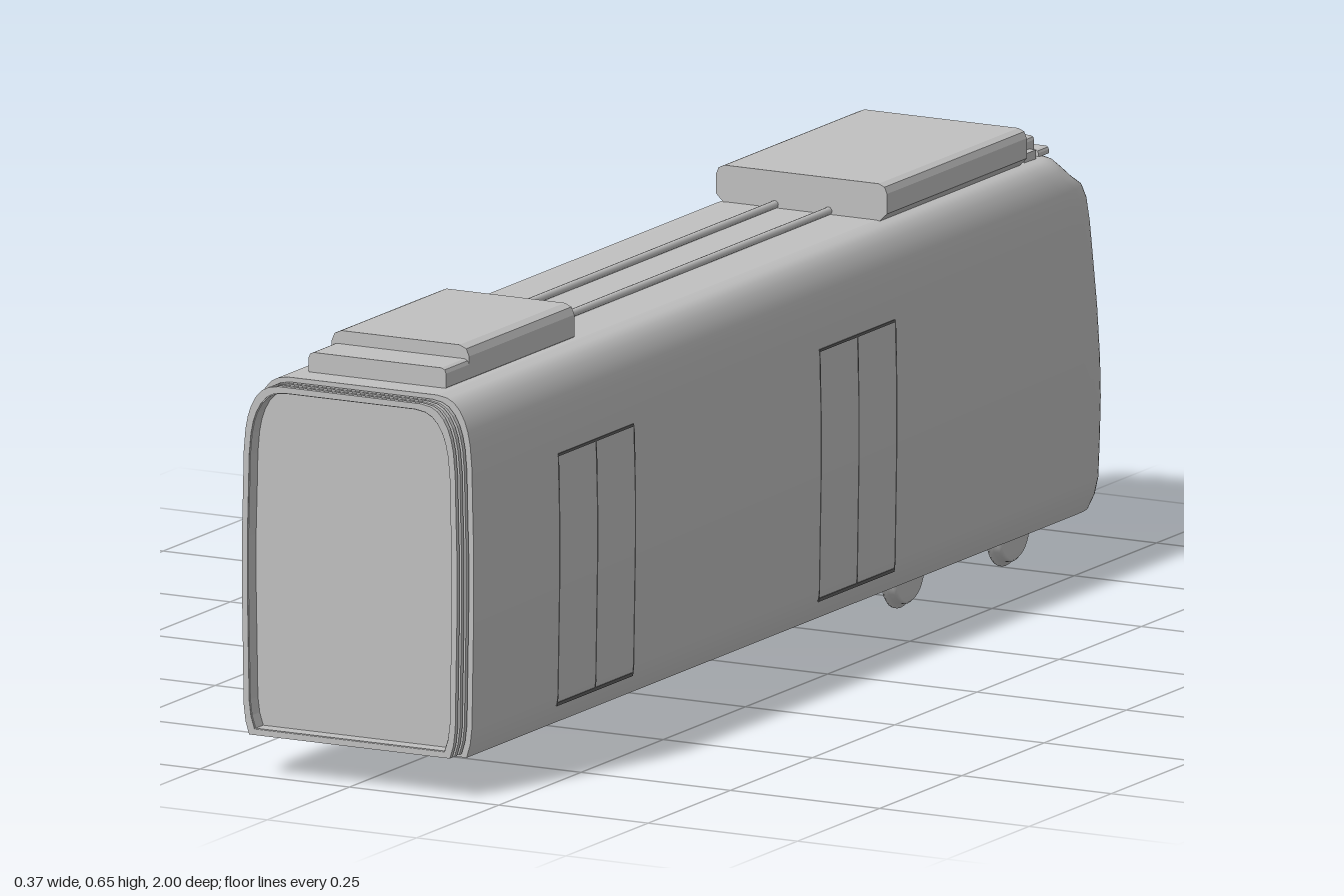
import * as THREE from 'three';

const paint = new THREE.MeshStandardMaterial({ color: 0xc0c0c0 });
paint.name = 'grey paint';
const glass = new THREE.MeshStandardMaterial({ color: 0x2f3a40 });
glass.name = 'dark glass';
const seam = new THREE.MeshStandardMaterial({ color: 0x606060 });
seam.name = 'seam grey';

// Horizontal slices of the body: height, half width, z of the nose
const ROWS = [
  [0.055, 0.174, -0.98], [0.075, 0.18, -0.99], [0.1, 0.183, -0.996], [0.16, 0.184, -0.999],
  [0.22, 0.185, -1], [0.28, 0.186, -0.996], [0.36, 0.186, -0.987], [0.44, 0.184, -0.977],
  [0.49, 0.183, -0.97], [0.525, 0.18, -0.965], [0.545, 0.176, -0.957], [0.56, 0.171, -0.935],
  [0.575, 0.163, -0.92], [0.586, 0.153, -0.912], [0.592, 0.142, -0.9], [0.595, 0.125, -0.885],
];
const LAST = ROWS.length - 1, ARC = 32, END_Z = 0.96, NOSE = 0.1;

// Point on a slice: k = 0 is the left end corner, then round the nose to the right end corner
function hull(row, k) {
  const [y, w, n] = ROWS[row];
  if (k === 0 || k === ARC + 2) return [k ? -w : w, y, END_Z];
  const a = ((k - 1) / ARC) * Math.PI;
  const c = Math.cos(a), s = Math.max(0, Math.sin(a));
  return [w * Math.sign(c) * Math.sqrt(Math.abs(c)), y, n + NOSE - NOSE * Math.sqrt(s)];
}

// Surface grid from a point rule
function grid(nu, nv, rule) {
  const pos = [], idx = [];
  for (let j = 0; j <= nv; j++) for (let i = 0; i <= nu; i++) pos.push(...rule(i, j));
  for (let j = 0; j < nv; j++) for (let i = 0; i < nu; i++) {
    const a = j * (nu + 1) + i, b = a + 1, c = a + nu + 1, d = c + 1;
    idx.push(a, b, d, a, d, c);
  }
  const g = new THREE.BufferGeometry();
  g.setAttribute('position', new THREE.Float32BufferAttribute(pos, 3));
  g.setIndex(idx);
  g.computeVertexNormals();
  return g;
}

// Upright cross-section of the body, shrunk by an inset
function section(inset) {
  const half = ROWS.map(([y, w]) => [w - inset, 0.325 + (y - 0.325) * (1 - inset / 0.27)]);
  const pts = [...half, ...half.map(([x, y]) => [-x, y]).reverse()];
  return pts.map(([x, y]) => new THREE.Vector2(x, y));
}

export function createModel() {
  const model = new THREE.Group();
  const add = (name, geo, mat, x = 0, y = 0, z = 0) => {
    const m = new THREE.Mesh(geo, mat);
    m.name = name;
    m.position.set(x, y, z);
    model.add(m);
    return m;
  };
  const box = (name, w, h, d, x, y, z, mat = paint) => add(name, new THREE.BoxGeometry(w, h, d), mat, x, y, z);
  const extrude = (shape, depth) => new THREE.ExtrudeGeometry(shape, { depth, bevelEnabled: false });

  // Body shell, roof, floor and end wall
  const mid = (ARC + 2) / 2;
  const span = (row, flip) => (i, j) => hull(row, (j === 0) !== flip ? i : ARC + 2 - i);
  add('bodyShell', grid(ARC + 2, LAST, (i, j) => hull(j, i)), paint);
  add('roof', grid(mid, 1, span(LAST, false)), paint);
  add('floor', grid(mid, 1, span(0, true)), paint);
  add('endWall', grid(1, LAST, (i, j) => hull(j, i ? 0 : ARC + 2)), paint);

  // Windscreen wrapping the nose
  const first = 6;
  add('windscreen', grid(ARC + 2 - 2 * first, 4, (i, j) => {
    const [x, y, z] = hull(5 + j, i + first);
    return [x * 1.012, y, z - 0.003];
  }), glass);

  // Gangway: inner sleeve, ribs and recessed panel
  const ring = (outer, inner, depth) => {
    const s = new THREE.Shape(section(outer));
    s.holes.push(new THREE.Path(section(inner)));
    return extrude(s, depth);
  };
  add('gangwaySleeve', ring(0.012, 0.016, 0.038), paint, 0, 0, 0.96);
  for (const z of [0.964, 0.978, 0.992]) add('gangwayRib', ring(0.006, 0.015, 0.008), paint, 0, 0, z);
  add('gangwayPanel', extrude(new THREE.Shape(section(0.015)), 0.01), paint, 0, 0, 0.965);

  // Door seams on both sides
  for (const side of [-1, 1]) {
    for (const zc of [0.585, -0.21]) {
      for (const dz of [-0.115, 0, 0.115]) {
        // vertical seams follow the curved side
        const rows = [[0.085, 0.1815], [0.1, 0.183], [0.16, 0.184], [0.22, 0.185], [0.28, 0.186], [0.36, 0.186], [0.46, 0.1836]];
        const g = grid(1, rows.length - 1, (i, j) =>
          [side * (rows[j][1] + 0.001), rows[j][0], zc + dz + side * (i ? -0.002 : 0.002)]);
        add('doorSeam', g, seam);
      }
      box('doorSill', 0.003, 0.005, 0.23, side * 0.1815, 0.085, zc, seam);
      box('doorHeader', 0.003, 0.004, 0.23, side * 0.1832, 0.46, zc, seam);
    }
  }

  // Headlights
  for (const x of [-0.135, 0.135]) {
    const lamp = add('headlight', new THREE.SphereGeometry(0.014, 16, 10), paint, x, 0.19, -0.99);
    lamp.scale.set(1.2, 0.8, 0.6);
  }

  // Roof equipment with chamfered or rounded edges, drawn across and extruded along z
  const block = (name, w, y0, y1, z0, z1, top, bottom) => {
    const s = new THREE.Shape([
      [-w + bottom, y0], [w - bottom, y0], [w, y0 + bottom], [w, y1 - top], [w - top * 0.3, y1 - top * 0.3],
      [w - top, y1], [-w + top, y1], [-w + top * 0.3, y1 - top * 0.3], [-w, y1 - top], [-w, y0 + bottom],
    ].map(([x, y]) => new THREE.Vector2(x, y)));
    add(name, extrude(s, z1 - z0), paint, 0, 0, z0);
  };
  block('frontRoofUnit', 0.115, 0.592, 0.645, 0.525, 0.845, 0.016, 0.004);
  block('frontRoofStep', 0.115, 0.592, 0.625, 0.845, 0.915, 0.008, 0.004);
  block('rearRoofUnit', 0.143, 0.592, 0.65, -0.8, -0.375, 0.014, 0.014);
  block('rearRoofStep', 0.118, 0.592, 0.624, -0.868, -0.8, 0.006, 0.004);
  block('noseFairing', 0.125, 0.592, 0.603, -0.9, -0.868, 0.005, 0);
  for (const x of [-0.045, 0.045]) {
    const pipe = add('roofPipe', new THREE.CylinderGeometry(0.006, 0.006, 0.9, 12), paint, x, 0.6, 0.075);
    pipe.rotation.x = Math.PI / 2;
    box('roofBracket', 0.012, 0.014, 0.035, x * 2.75, 0.6, -0.835);
  }

  // Flanged wheels and axles
  const profile = [[0, -0.012], [0.043, -0.012], [0.047, -0.008], [0.048, 0.002], [0.055, 0.004], [0.055, 0.007], [0.045, 0.011], [0, 0.011]]
    .map(([r, h]) => new THREE.Vector2(r, h));
  for (const z of [-0.44, -0.76]) {
    for (const side of [-1, 1]) {
      const wheel = add('wheel', new THREE.LatheGeometry(profile, 32), paint, side * 0.134, 0.055, z);
      wheel.rotation.z = side * Math.PI / 2;
    }
    const axle = add('axle', new THREE.CylinderGeometry(0.008, 0.008, 0.25, 12), paint, 0, 0.055, z);
    axle.rotation.z = Math.PI / 2;
  }
  return model;
}
